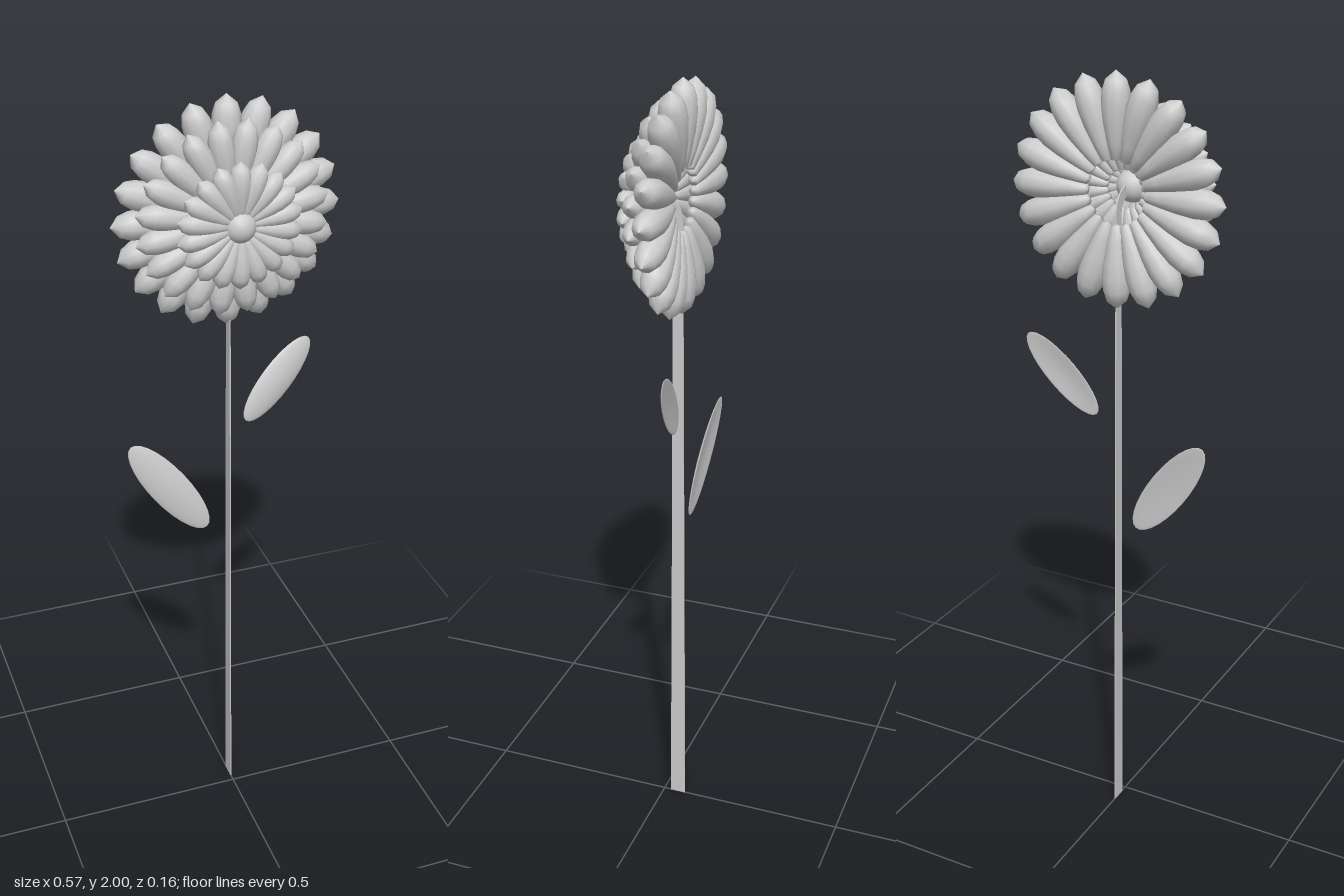
import * as THREE from 'three';

const grey = new THREE.MeshStandardMaterial({ color: 0xcccccc });
grey.name = 'pale grey';

const HEAD_Y = 1.717;

function part(name, geometry) {
  const mesh = new THREE.Mesh(geometry, grey);
  mesh.name = name;
  return mesh;
}

// Plump petal with a short pointed tip, running from radius r0 to r1 along +y
function petalGeometry(r0, r1, halfWidth) {
  const profile = [[0, 0], [0.35, 0.02], [0.62, 0.2], [0.88, 0.42], [1, 0.62], [0.93, 0.78], [0.7, 0.9], [0, 1]];
  const points = profile.map(([w, t]) => new THREE.Vector2(w * halfWidth, r0 + t * (r1 - r0)));
  return new THREE.LatheGeometry(points, 10);
}

function petalRing(name, { count, r0, r1, halfWidth, z, turn }) {
  const ring = new THREE.Group();
  ring.name = name;
  const geometry = petalGeometry(r0, r1, halfWidth);
  for (let i = 0; i < count; i++) {
    const petal = part('petal', geometry);
    petal.rotation.z = ((i + turn) / count) * Math.PI * 2;
    ring.add(petal);
  }
  ring.position.set(0, HEAD_Y, z);
  return ring;
}

// Thin oval leaf, cupped slightly and leaning back towards its upper end
function leaf(name, { x, y, z, length, width, angle, lean }) {
  const geometry = new THREE.SphereGeometry(1, 28, 16);
  geometry.rotateX(Math.PI / 2);
  geometry.scale(width, length, 0.005);
  const p = geometry.attributes.position;
  for (let i = 0; i < p.count; i++) {
    const u = p.getX(i) / width;
    const v = p.getY(i) / length;
    p.setZ(i, p.getZ(i) + 0.008 * (1 - u * u - v * v) - lean * v);
  }
  geometry.computeVertexNormals();
  geometry.rotateZ(angle);
  const mesh = part(name, geometry);
  mesh.position.set(x, y, z);
  return mesh;
}

// Flat, tapering blade of a stem that hooks forward into the flower head
function stem() {
  const s = new THREE.Shape();
  s.moveTo(-0.061, 0);
  s.lineTo(-0.019, 0);
  s.lineTo(-0.021, 1.66);
  s.quadraticCurveTo(-0.02, 1.7, 0.03, 1.705);
  s.lineTo(0.03, 1.73);
  s.quadraticCurveTo(-0.045, 1.73, -0.046, 1.66);
  s.closePath();
  const geometry = new THREE.ExtrudeGeometry(s, { depth: 0.003, bevelEnabled: false, curveSegments: 8 });
  geometry.translate(0, 0, -0.0015);
  geometry.rotateY(-Math.PI / 2);
  return part('stem', geometry);
}

export function createModel() {
  const flower = new THREE.Group();
  flower.name = 'flower';

  // Three stacked rings of petals, widest at the back
  flower.add(
    petalRing('outerPetals', { count: 20, r0: 0.075, r1: 0.284, halfWidth: 0.036, z: -0.044, turn: 0 }),
    petalRing('middlePetals', { count: 20, r0: 0.045, r1: 0.24, halfWidth: 0.031, z: 0, turn: 0.5 }),
    petalRing('innerPetals', { count: 18, r0: 0.015, r1: 0.155, halfWidth: 0.026, z: 0.049, turn: 0 })
  );

  // Button in the middle of the flower head
  const button = part('centre', new THREE.SphereGeometry(0.041, 20, 14));
  button.position.set(0, HEAD_Y, 0.041);
  flower.add(button);

  flower.add(
    stem(),
    leaf('leftLeaf', { x: 0.142, y: 1.247, z: -0.066, length: 0.132, width: 0.045, angle: -0.74, lean: 0.014 }),
    leaf('rightLeaf', { x: -0.152, y: 0.988, z: -0.058, length: 0.164, width: 0.05, angle: 0.63, lean: 0.01 })
  );
  return flower;
}
